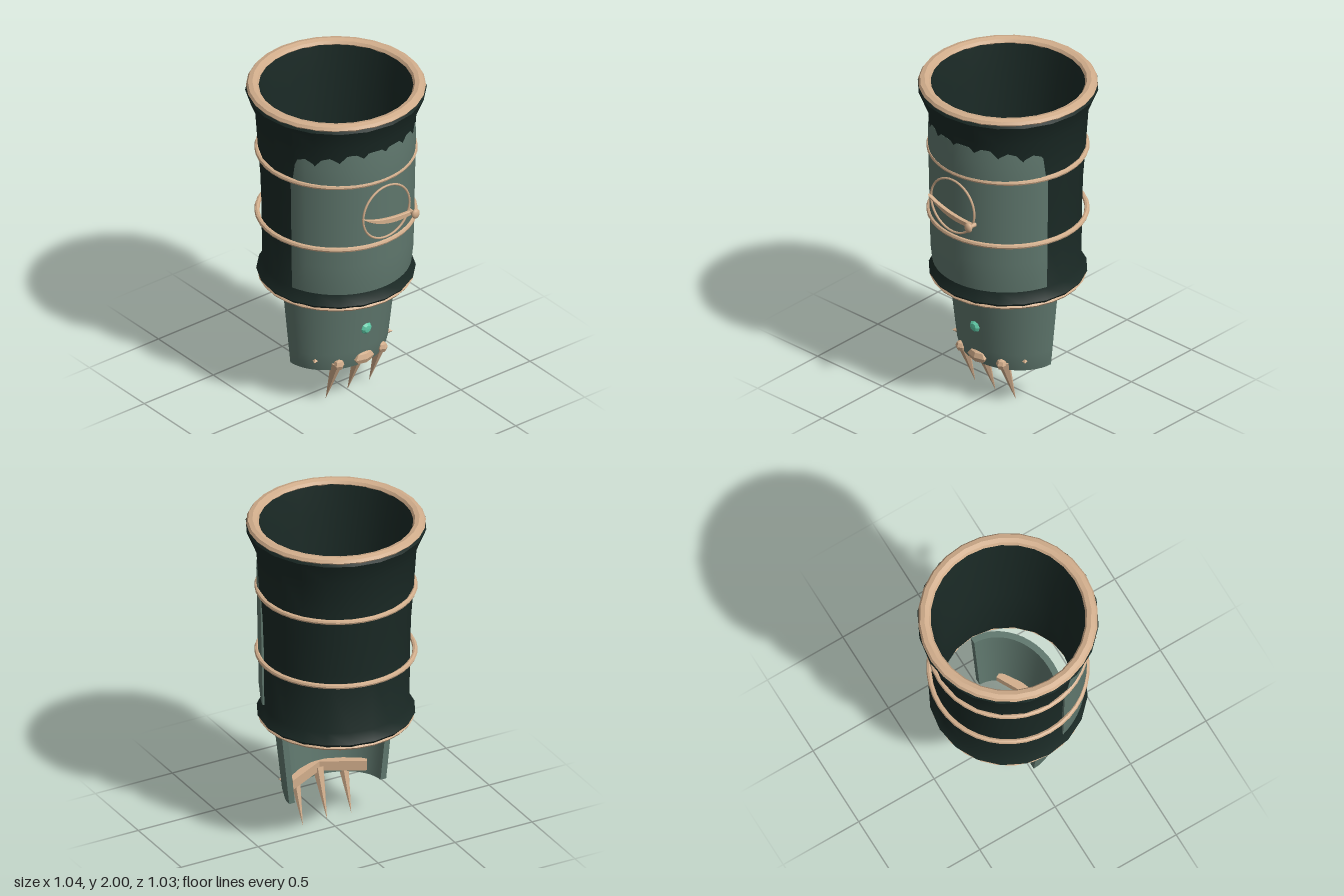
import * as THREE from 'three';
import { toCreasedNormals } from 'three/addons/utils/BufferGeometryUtils.js';

const paint = (color) => new THREE.MeshStandardMaterial({ color });
const CX = -0.01; // sleeve axis

export function createModel() {
  const model = new THREE.Group();
  const dark = paint(0x1a2925), plateGreen = paint(0x5f776d), tan = paint(0xd2ae8c), gemGreen = paint(0x5fc9a6);
  const facet = paint(0xd2ae8c), gemFacet = paint(0x5fc9a6);
  facet.flatShading = gemFacet.flatShading = true;

  function add(name, geo, mat, x = 0, y = 0, z = 0) {
    const m = new THREE.Mesh(geo, mat);
    m.name = name;
    m.position.set(x, y, z);
    model.add(m);
    return m;
  }

  // Closed profile [radius, height] spun around the sleeve axis
  function spin(name, pts, sides, mat) {
    const geo = new THREE.LatheGeometry(pts.map(p => new THREE.Vector2(...p)), sides, Math.PI);
    return add(name, toCreasedNormals(geo, 0.6), mat, CX);
  }

  // Curved shell facing +x, tapering between a bottom and a top ellipse
  function shell(name, cx, y0, y1, bottom, top, thick, half) {
    const geo = new THREE.BoxGeometry(1, 1, 1, 3, 10, 24);
    const p = geo.attributes.position;
    const edge = 0.008;
    for (let i = 0; i < p.count; i++) {
      const u = p.getX(i) + 0.5, v = p.getY(i) + 0.5, w = p.getZ(i) * 2;
      const rim = (v < 0.01 || v > 0.99 || Math.abs(w) > 0.99) ? edge : 0;
      const inset = u > 0.99 ? rim : (1 - u) * thick;
      const rx = THREE.MathUtils.lerp(bottom[0], top[0], v) - inset;
      const rz = THREE.MathUtils.lerp(bottom[1], top[1], v) - inset;
      const a = w * half;
      p.setXYZ(i, cx + rx * Math.cos(a), y0 + v * (y1 - y0), rz * Math.sin(a));
    }
    return add(name, toCreasedNormals(geo, 0.6), plateGreen);
  }

  // Sleeve: flared outside, tapering inside
  spin('sleeve', [
    [0.39, 0.745], [0.435, 0.745], [0.453, 0.77], [0.42, 0.83], [0.423, 1.2], [0.43, 1.4],
    [0.445, 1.6], [0.46, 1.82], [0.516, 1.955], [0.505, 1.975], [0.445, 1.975],
    [0.415, 1.8], [0.385, 1.3], [0.366, 0.86], [0.39, 0.745],
  ], 20, dark);

  // Rims and hoops
  function hoop(name, y, r, tube, height, sides) {
    const geo = new THREE.TorusGeometry(r, tube, 8, sides);
    geo.rotateX(Math.PI / 2);
    geo.scale(1, height / tube, 1);
    geo.computeVertexNormals();
    return add(name, toCreasedNormals(geo, 0.5), tan, CX, y);
  }
  hoop('topRim', 1.977, 0.475, 0.036, 0.023, 28);
  hoop('bottomRim', 0.745, 0.416, 0.03, 0.017, 28);
  hoop('upperHoop', 1.565, 0.449, 0.015, 0.015, 40);
  hoop('lowerHoop', 1.15, 0.449, 0.015, 0.015, 40);

  // Plate on the outer side and hand guard below
  shell('sidePlate', CX, 0.84, 1.77, [0.443, 0.435], [0.462, 0.452], 0.032, 1.3);
  shell('handGuard', -0.03, 0.24, 0.79, [0.268, 0.323], [0.33, 0.382], 0.045, Math.PI / 2);

  // Round emblem with a curved blade
  const ring = new THREE.TorusGeometry(0.168, 0.007, 6, 36);
  ring.rotateY(Math.PI / 2);
  add('emblemRing', ring, tan, 0.45, 1.355, 0);

  const blade = new THREE.Shape();
  blade.moveTo(-0.172, 1.367);
  blade.quadraticCurveTo(-0.04, 1.3, 0.16, 1.3);
  blade.lineTo(0.16, 1.28);
  blade.quadraticCurveTo(-0.03, 1.255, -0.172, 1.367);
  const bladeGeo = new THREE.ExtrudeGeometry(blade, {
    depth: 0.012, bevelEnabled: true, bevelSize: 0.003, bevelThickness: 0.006, bevelSegments: 1, curveSegments: 10,
  });
  bladeGeo.rotateY(Math.PI / 2);
  add('emblemBlade', bladeGeo, tan, 0.455);

  const knob = new THREE.SphereGeometry(1, 14, 10);
  knob.scale(0.017, 0.03, 0.027);
  add('emblemKnob', knob, tan, 0.502, 1.298, -0.17);
  const stem = new THREE.CylinderGeometry(0.01, 0.014, 0.05, 8);
  stem.rotateZ(-Math.PI / 2);
  add('knobStem', stem, tan, 0.47, 1.295, -0.168);

  // Claws leaning inward from the guard, each with a stud outside
  for (const z of [-0.157, 0, 0.157]) {
    const base = new THREE.Vector3(z ? 0.195 : 0.2, 0.29, z);
    const tip = new THREE.Vector3(0.093, 0, z);
    const dir = tip.clone().sub(base);
    const geo = new THREE.ConeGeometry(0.036, dir.length(), 6);
    const claw = add('claw', geo, facet);
    claw.position.copy(base).add(tip).multiplyScalar(0.5);
    claw.quaternion.setFromUnitVectors(new THREE.Vector3(0, 1, 0), dir.normalize());

    const stud = new THREE.SphereGeometry(1, 6, 4);
    if (z) stud.scale(0.033, 0.034, 0.033);
    else stud.scale(0.035, 0.04, 0.075);
    add('clawStud', stud, facet, z ? 0.212 : 0.24, z ? 0.28 : 0.288, z);
  }

  // Small outer thorns and the grip bars behind the guard
  for (const s of [-1, 1]) {
    const thorn = new THREE.ConeGeometry(0.026, 0.045, 4);
    thorn.rotateZ(-Math.PI / 2);
    thorn.rotateY(-s * 0.85);
    add('thorn', thorn, facet, 0.137, 0.308, s * 0.268);

    const outline = [[0.058, 0.24], [0.092, 0.256], [0.165, 0.14], [0.207, 0.03], [0.207, 0], [0.185, 0]];
    const bar = new THREE.Shape(outline.map(([x, z]) => new THREE.Vector2(x, -s * z)));
    const barGeo = new THREE.ExtrudeGeometry(bar, { depth: 0.06, bevelEnabled: false });
    barGeo.rotateX(-Math.PI / 2);
    add('gripBar', barGeo, facet, 0, 0.27, 0);
  }

  // Cut gem set through the guard
  const gem = new THREE.LatheGeometry(
    [[0, -0.05], [0.036, -0.005], [0.036, 0.006], [0.022, 0.02], [0, 0.022]].map(p => new THREE.Vector2(...p)), 8);
  gem.rotateZ(-Math.PI / 2);
  add('guardGem', gem, gemFacet, 0.263, 0.49, 0);

  // Small inlaid disc inside the sleeve
  const disc = new THREE.CylinderGeometry(0.078, 0.078, 0.016, 16);
  disc.rotateX(Math.PI / 2);
  add('innerDisc', disc, tan, 0.012, 1.0, 0.352);
  const inlay = new THREE.CylinderGeometry(0.045, 0.05, 0.024, 8);
  inlay.rotateX(Math.PI / 2);
  add('innerInlay', inlay, gemGreen, 0.012, 1.0, 0.352);

  return model;
}
